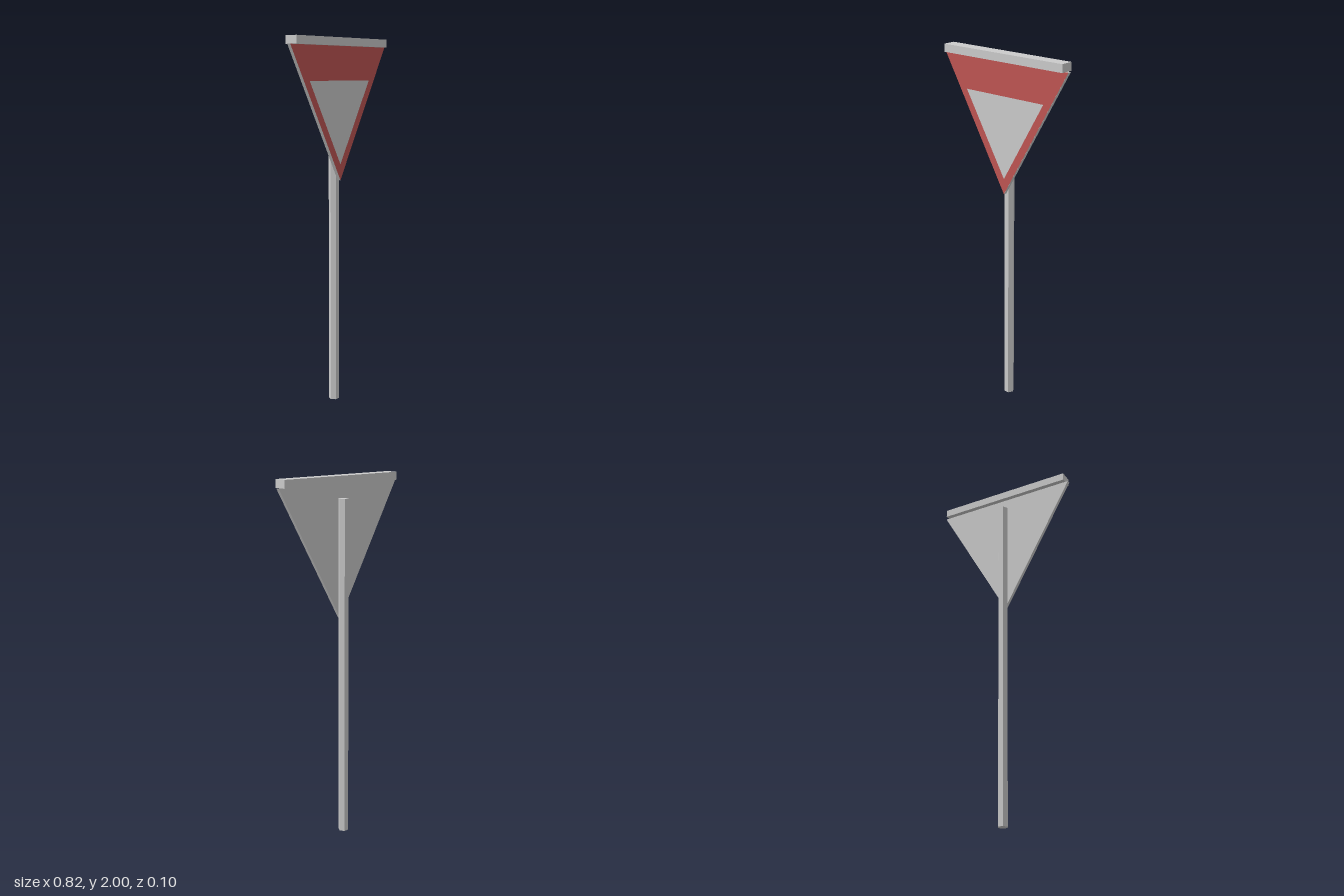
import * as THREE from 'three';

const grey = new THREE.MeshStandardMaterial({ color: 0xcccccc, flatShading: true });
const red = new THREE.MeshStandardMaterial({ color: 0xbf5553 });

// Corners of a triangle standing on its tip
const triangle = (halfWidth, top, tip) => [
  new THREE.Vector2(-halfWidth, top),
  new THREE.Vector2(0, tip),
  new THREE.Vector2(halfWidth, top),
];

export function createModel() {
  const group = new THREE.Group();
  const add = (name, geometry, material, x, y, z) => {
    const mesh = new THREE.Mesh(geometry, material);
    mesh.name = name;
    mesh.position.set(x, y, z);
    group.add(mesh);
  };

  // Hexagonal post with flat sides to front and back
  const postHeight = 1.884;
  const post = new THREE.CylinderGeometry(0.0286, 0.0286, postHeight, 6).rotateY(Math.PI / 6);
  add('post', post, grey, 0, postHeight / 2, -0.0228);

  // Triangular sign board fixed to the front of the post
  const outer = triangle(0.411, 1.957, 1.242);
  const inner = triangle(0.26, 1.775, 1.328);
  const board = new THREE.ExtrudeGeometry(new THREE.Shape(outer), { depth: 0.019, bevelEnabled: false });
  add('signBoard', board, grey, 0, 0, 0.002);

  // Coloured border, leaving the centre of the board bare
  const border = new THREE.Shape(outer);
  border.holes.push(new THREE.Path(inner));
  add('signBorder', new THREE.ShapeGeometry(border), red, 0, 0, 0.0216);

  // Bar along the top edge of the board
  add('topBar', new THREE.BoxGeometry(0.788, 0.043, 0.071), grey, 0, 1.9785, 0.012);

  return group;
}
